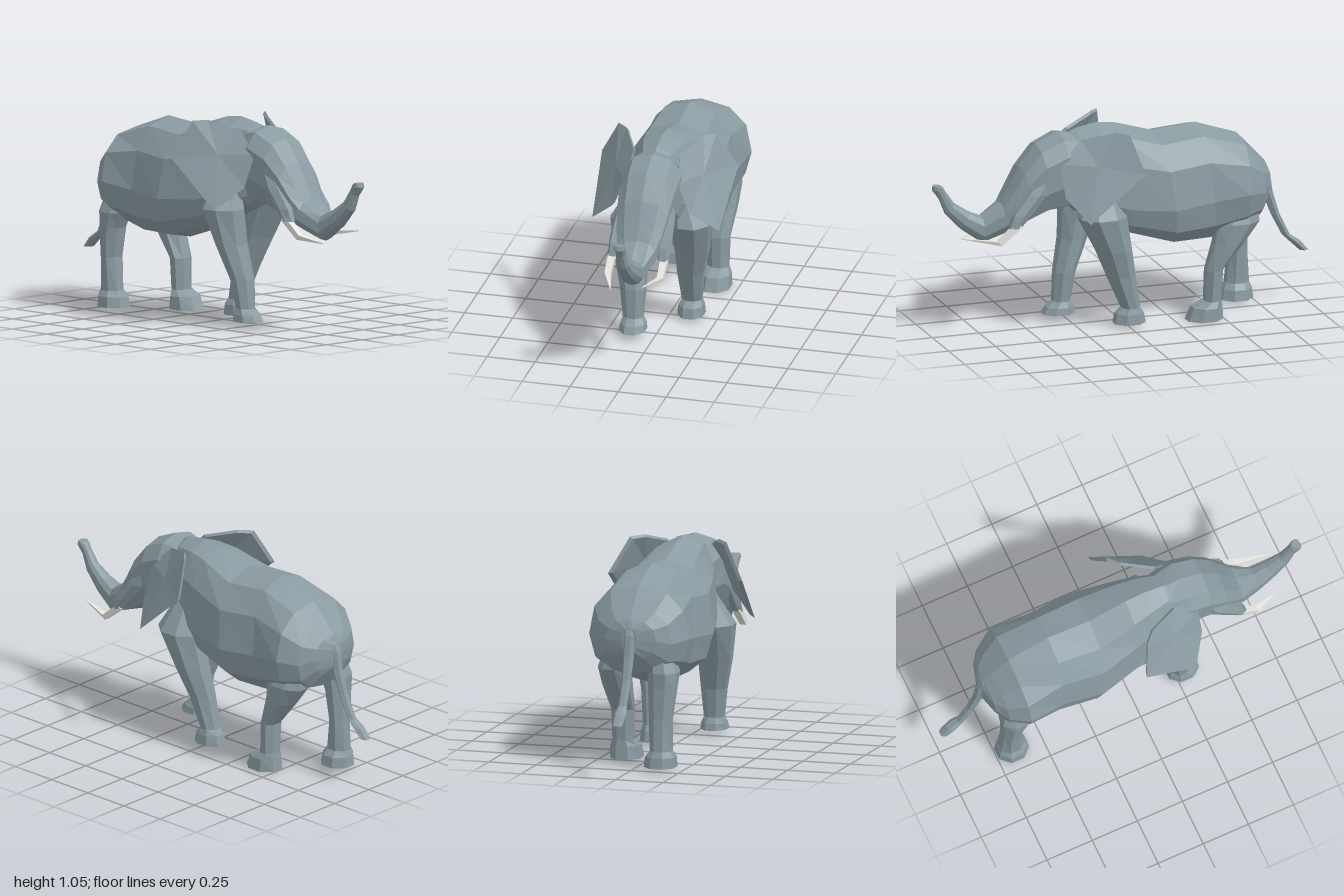
import * as THREE from 'three';

const skin = new THREE.MeshStandardMaterial({ color: 0x8a9ba2, flatShading: true });
skin.name = 'grey skin';
const ivory = new THREE.MeshStandardMaterial({ color: 0xe8e5e1, flatShading: true });
ivory.name = 'ivory';

// Skins a row of equal-sized rings and closes both ends, always facing outward
function loft(name, rings, material = skin) {
  const n = rings[0].length, tris = [];
  for (let i = 0; i < rings.length - 1; i++) {
    for (let j = 0; j < n; j++) {
      const k = (j + 1) % n, a = rings[i], b = rings[i + 1];
      tris.push([a[j], b[j], b[k]], [a[j], b[k], a[k]]);
    }
  }
  const cap = (ring, flip) => {
    const c = middle(ring);
    ring.forEach((p, j) => {
      const q = ring[(j + 1) % n];
      tris.push(flip ? [c, q, p] : [c, p, q]);
    });
  };
  cap(rings[0], false);
  cap(rings[rings.length - 1], true);
  const cross = new THREE.Vector3();
  let volume = 0;
  tris.forEach(([a, b, c]) => { volume += a.dot(cross.crossVectors(b, c)); });
  const points = tris.flatMap(([a, b, c]) => (volume < 0 ? [a, c, b] : [a, b, c]));
  const geometry = new THREE.BufferGeometry().setFromPoints(points);
  geometry.computeVertexNormals();
  const mesh = new THREE.Mesh(geometry, material);
  mesh.name = name;
  return mesh;
}

function middle(ring) {
  return ring.reduce((c, p) => c.addScaledVector(p, 1 / ring.length), new THREE.Vector3());
}

// Upright section through a top point and a bottom point; f places the widest level
function section([zt, yt, zb, yb, w, f], sides = 12) {
  const soft = v => Math.sign(v) * Math.abs(v) ** 0.85;
  return Array.from({ length: sides }, (_, i) => {
    const a = i / sides * Math.PI * 2, c = soft(Math.cos(a));
    const t = c > 0 ? f * (1 - c) : f - (1 - f) * c;
    return new THREE.Vector3(w * soft(Math.sin(a)), yt + (yb - yt) * t, zt + (zb - zt) * t);
  });
}

// Level section, flat side forward
function level([y, x, z, rx, rz], sides = 8) {
  const k = 1 / Math.cos(Math.PI / sides);
  return Array.from({ length: sides }, (_, i) => {
    const a = (i + 0.5) / sides * Math.PI * 2;
    return new THREE.Vector3(x + rx * k * Math.sin(a), y, z + rz * k * Math.cos(a));
  });
}

export function createModel() {
  const model = new THREE.Group();
  model.name = 'elephant';

  // Each row: top z, top y, bottom z, bottom y, half width, widest level
  model.add(loft('body', [
    [0.32, 0.99, 0.31, 0.66, 0.10, 0.5],
    [0.24, 1.03, 0.25, 0.60, 0.135, 0.7],
    [0.13, 1.05, 0.13, 0.55, 0.18, 0.76],
    [0.03, 1.04, 0.00, 0.475, 0.212, 0.72],
    [-0.17, 0.98, -0.24, 0.40, 0.263, 0.62],
    [-0.40, 1.0, -0.44, 0.40, 0.238, 0.6],
    [-0.62, 0.925, -0.60, 0.455, 0.265, 0.55],
    [-0.71, 0.83, -0.70, 0.49, 0.205, 0.52],
    [-0.755, 0.78, -0.75, 0.565, 0.135, 0.5],
    [-0.78, 0.74, -0.78, 0.61, 0.04, 0.5],
  ].map(r => section(r))));

  // Head running on into the raised trunk
  model.add(loft('headAndTrunk', [
    [0.20, 1.0, 0.22, 0.64, 0.13, 0.45],
    [0.33, 1.025, 0.30, 0.62, 0.157, 0.4],
    [0.45, 0.97, 0.40, 0.61, 0.15, 0.42],
    [0.54, 0.86, 0.50, 0.575, 0.138, 0.42],
    [0.60, 0.75, 0.57, 0.545, 0.122, 0.42],
    [0.64, 0.68, 0.65, 0.515, 0.1, 0.42],
    [0.74, 0.62, 0.74, 0.48, 0.06, 0.5],
    [0.81, 0.65, 0.85, 0.56, 0.045, 0.5],
    [0.885, 0.70, 0.935, 0.65, 0.032, 0.5],
    [0.93, 0.765, 0.967, 0.73, 0.025, 0.5],
    [0.945, 0.79, 1.0, 0.775, 0.03, 0.5],
    [0.955, 0.797, 0.995, 0.798, 0.028, 0.5],
  ].map(r => section(r, 10))));

  for (const s of [1, -1]) {
    const side = s > 0 ? 'left' : 'right';

    // Ears sweep back from the temples, thin at the rim
    const rim = [
      [0.12, 1.0, 0.25], [0.2, 1.047, 0.09], [0.255, 1.043, 0.035], [0.355, 0.858, -0.015],
      [0.33, 0.615, 0.27], [0.205, 0.73, 0.36], [0.14, 0.89, 0.365],
    ].map(([x, y, z]) => new THREE.Vector3(s * x, y, z));
    const centre = middle(rim), back = new THREE.Vector3(s * -0.014, 0, -0.01);
    model.add(loft(side + 'Ear', [rim, rim.map(p => p.clone().lerp(centre, 0.08).add(back))]));

    // Tusk sockets on the cheeks
    model.add(loft(side + 'TuskSocket', [
      [0.82, s * 0.112, 0.43, 0.022, 0.035],
      [0.74, s * 0.122, 0.48, 0.03, 0.05],
      [0.64, s * 0.129, 0.565, 0.028, 0.047],
      [0.578, s * 0.13, 0.605, 0.026, 0.03],
    ].map(r => level(r, 6))));

    // Tusks: x, y, z, radius
    const tip = s > 0 ? [0.09, 0.535, 0.88] : [0.09, 0.48, 0.815];
    model.add(loft(side + 'Tusk', [
      [0.135, 0.595, 0.58, 0.019], [0.136, 0.505, 0.69, 0.016], [...tip, 0.002],
    ].map(([x, y, z, r]) => [[1, 1], [-1, 1], [-1, -1], [1, -1]].map(
      ([u, v]) => new THREE.Vector3(s * x + u * r, y + v * r * 0.7, z + v * r * 0.5))), ivory));
  }

  // Striding legs, each row: y, x, z, half width, half depth
  const legs = {
    leftFrontLeg: [
      [0.76, 0.11, 0.14, 0.045, 0.06], [0.6, 0.155, 0.15, 0.1, 0.12], [0.42, 0.143, 0.085, 0.084, 0.088],
      [0.27, 0.122, 0.037, 0.065, 0.07], [0.1, 0.115, -0.015, 0.05, 0.046],
      [0.07, 0.112, -0.01, 0.062, 0.07], [0.018, 0.112, -0.01, 0.066, 0.08],
    ],
    rightFrontLeg: [
      [0.76, -0.11, 0.14, 0.045, 0.06], [0.6, -0.155, 0.155, 0.1, 0.11], [0.42, -0.143, 0.205, 0.084, 0.07],
      [0.25, -0.12, 0.257, 0.064, 0.054], [0.1, -0.115, 0.275, 0.05, 0.045],
      [0.07, -0.112, 0.285, 0.062, 0.07], [0.035, -0.112, 0.292, 0.066, 0.082],
    ],
    leftHindLeg: [
      [0.62, 0.12, -0.6, 0.05, 0.08], [0.5, 0.14, -0.575, 0.075, 0.11], [0.4, 0.14, -0.53, 0.07, 0.08],
      [0.26, 0.135, -0.452, 0.058, 0.043], [0.1, 0.135, -0.445, 0.054, 0.042],
      [0.07, 0.132, -0.415, 0.074, 0.075], [0.003, 0.13, -0.403, 0.079, 0.092],
    ],
    rightHindLeg: [
      [0.62, -0.12, -0.62, 0.05, 0.07], [0.5, -0.14, -0.64, 0.075, 0.085], [0.42, -0.14, -0.658, 0.07, 0.06],
      [0.27, -0.135, -0.672, 0.058, 0.046], [0.1, -0.135, -0.668, 0.054, 0.06],
      [0.07, -0.132, -0.665, 0.074, 0.075], [0.016, -0.13, -0.662, 0.079, 0.083],
    ],
  };
  for (const [name, rows] of Object.entries(legs)) model.add(loft(name, rows.map(r => level(r))));

  // Tail with a tuft
  model.add(loft('tail', [
    [0.77, 0, -0.75, 0.022, 0.015], [0.7, 0, -0.775, 0.026, 0.02], [0.6, 0, -0.785, 0.025, 0.024],
    [0.48, 0, -0.825, 0.021, 0.02], [0.36, 0, -0.885, 0.02, 0.018],
    [0.325, 0, -0.93, 0.027, 0.027], [0.275, 0, -0.977, 0.024, 0.022],
  ].map(r => level(r, 6))));

  return model;
}
